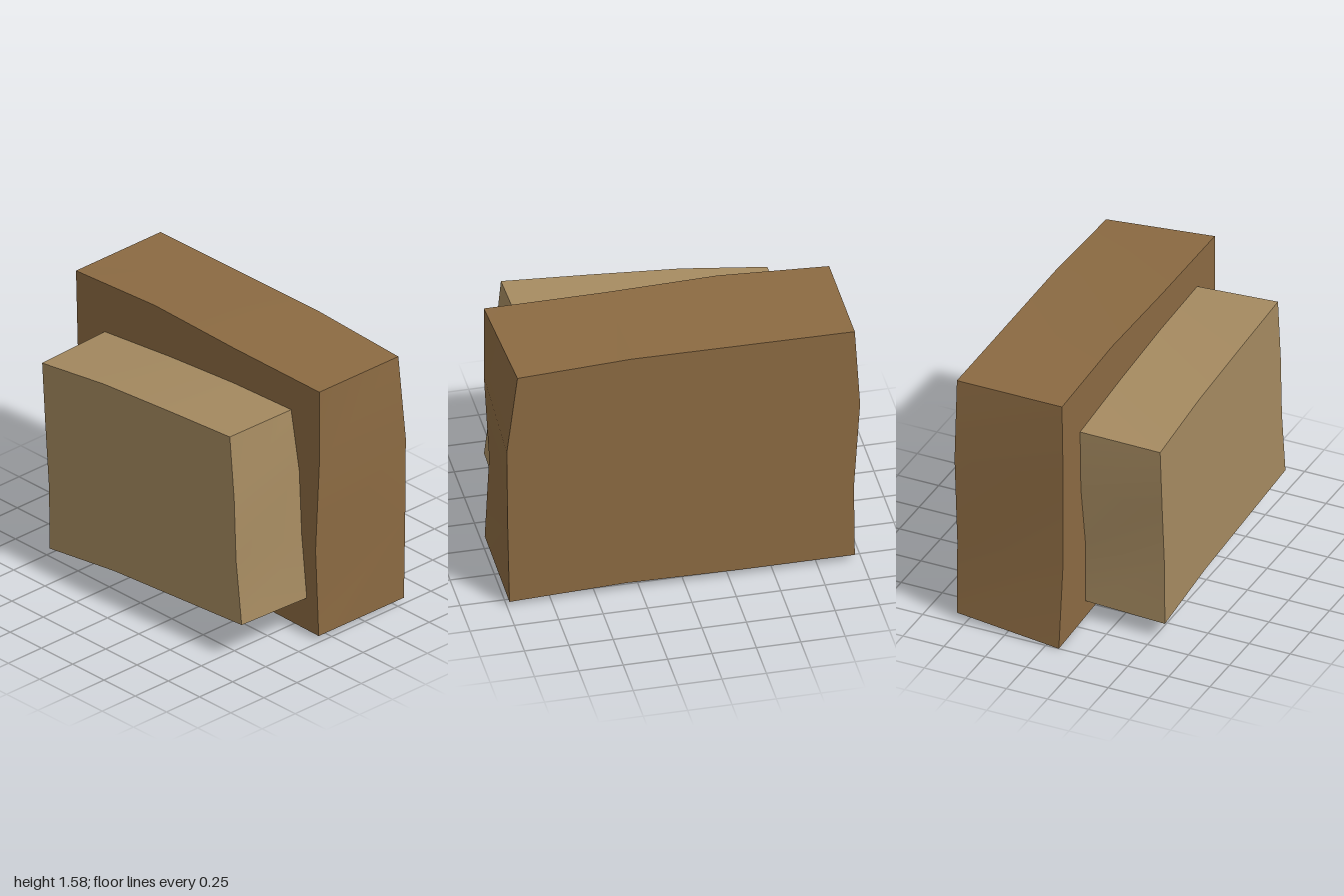
import * as THREE from 'three';

const N = 3; // bends along each side of a warped panel

// Point inside an outline whose four sides are each given by four [x, y] points
// (bottom and top run along +x, left and right run upward).
function patch({ bottom, top, left, right }, i, j) {
  const u = i / N, v = j / N;
  return [0, 1].map((k) =>
    (1 - v) * bottom[i][k] + v * top[i][k] + (1 - u) * left[j][k] + u * right[j][k]
    - (1 - u) * (1 - v) * bottom[0][k] - u * (1 - v) * bottom[N][k]
    - (1 - u) * v * top[0][k] - u * v * top[N][k]);
}

// Outline from bottom and top edges plus the two inner points of each side
function outline(bottom, top, left, right) {
  return {
    bottom, top,
    left: [bottom[0], ...left, top[0]],
    right: [bottom[N], ...right, top[N]],
  };
}

// Hand-hewn box: a segmented box bent to fit a front and a back outline
function warpedBox(name, material, front, back, zFront, zBack) {
  const geometry = new THREE.BoxGeometry(1, 1, 1, N, N, 1);
  const pos = geometry.attributes.position;
  for (let n = 0; n < pos.count; n++) {
    const i = Math.round((pos.getX(n) + 0.5) * N);
    const j = Math.round((pos.getY(n) + 0.5) * N);
    const isFront = pos.getZ(n) > 0;
    const [x, y] = patch(isFront ? front : back, i, j);
    pos.setXYZ(n, x, y, isFront ? zFront : zBack);
  }
  geometry.computeVertexNormals();
  const mesh = new THREE.Mesh(geometry, material);
  mesh.name = name;
  return mesh;
}

export function createModel() {
  const group = new THREE.Group();
  group.name = 'crookedCabinet';
  const darkWood = new THREE.MeshStandardMaterial({ color: 0x8b6a42 });
  const lightWood = new THREE.MeshStandardMaterial({ color: 0xa58a60 });

  // Main body
  group.add(warpedBox('body', darkWood,
    outline(
      [[-1, 0], [-0.33, 0.037], [0.32, 0.035], [0.98, 0.025]],
      [[-0.96, 1.54], [-0.33, 1.575], [0.3, 1.56], [0.985, 1.557]],
      [[-0.945, 0.53], [-0.945, 1.05]],
      [[0.955, 0.55], [0.985, 1.1]]),
    outline(
      [[-0.96, 0.04], [-0.31, 0.04], [0.33, 0.05], [0.985, 0.025]],
      [[-0.96, 1.54], [-0.33, 1.545], [0.3, 1.55], [0.94, 1.52]],
      [[-0.955, 0.5], [-0.99, 1.05]],
      [[0.995, 0.53], [1, 1.03]]),
    0.08, -0.56));

  // Lighter front block, leaning to one side
  group.add(warpedBox('frontBlock', lightWood,
    outline(
      [[-0.66, 0.1], [-0.15, 0.165], [0.36, 0.2], [0.875, 0.235]],
      [[-0.72, 1.24], [-0.23, 1.305], [0.3, 1.345], [0.78, 1.377]],
      [[-0.665, 0.48], [-0.695, 0.87]],
      [[0.83, 0.62], [0.815, 1.0]]),
    outline(
      [[-0.66, 0.12], [-0.15, 0.17], [0.36, 0.2], [0.885, 0.225]],
      [[-0.73, 1.25], [-0.23, 1.3], [0.3, 1.34], [0.76, 1.357]],
      [[-0.66, 0.48], [-0.72, 0.87]],
      [[0.845, 0.6], [0.825, 1.0]]),
    0.563, 0.06));

  // Row of small feet
  for (let i = 0; i < 4; i++) {
    const foot = new THREE.Mesh(new THREE.BoxGeometry(0.147, 0.06, 0.105), darkWood);
    foot.name = 'foot' + (i + 1);
    foot.position.set((i - 1.5) * 0.295, 0.03, -0.19);
    group.add(foot);
  }
  return group;
}
